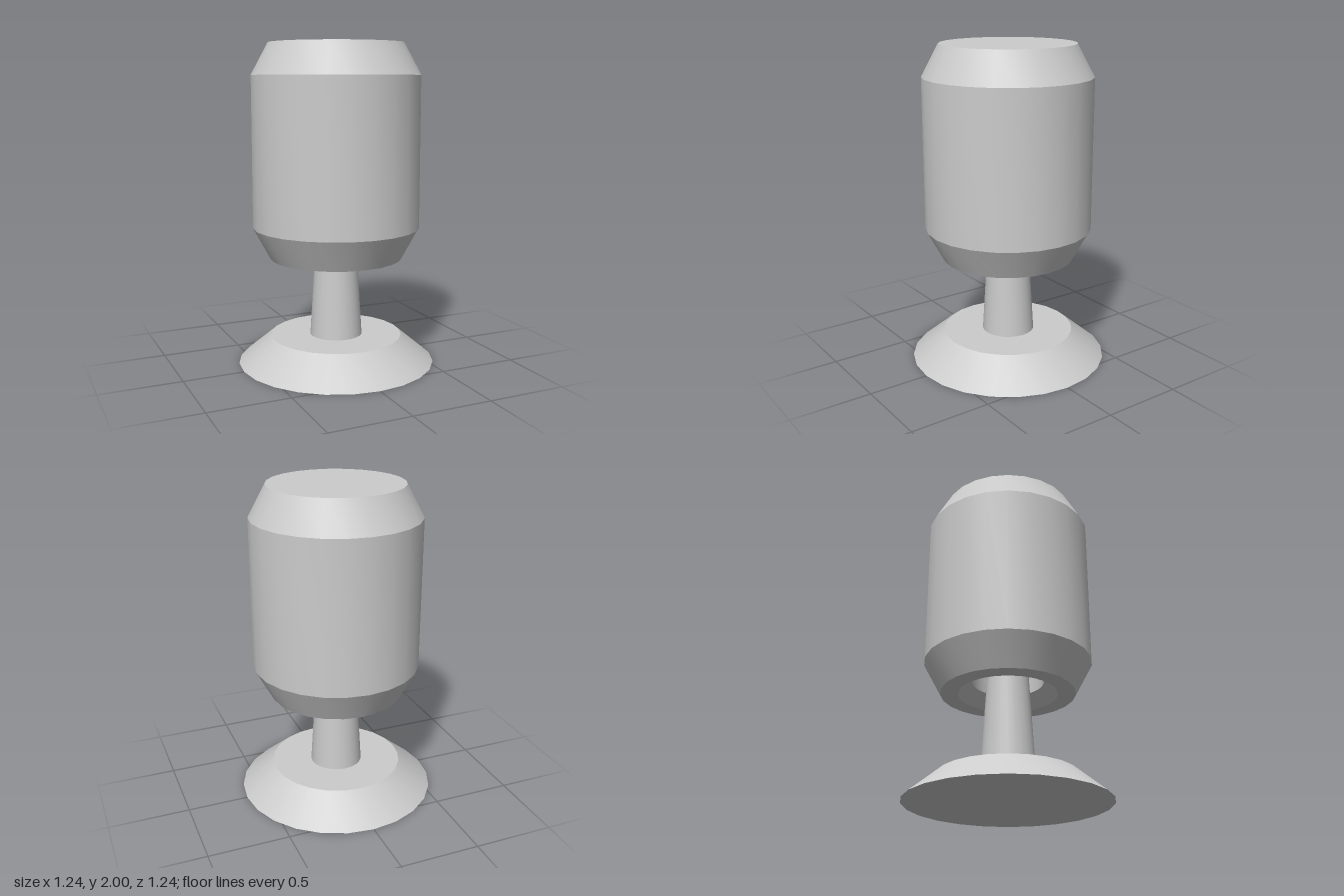
import * as THREE from 'three';
import { toCreasedNormals } from 'three/addons/utils/BufferGeometryUtils.js';

const SIDES = 24;

export function createModel() {
  const group = new THREE.Group();
  const material = new THREE.MeshStandardMaterial({ color: 0xcccccc });

  // Turned part from a [radius, height] profile, smooth around and sharp at the rims
  const turned = (name, profile) => {
    const points = profile.map(([r, y]) => new THREE.Vector2(r, y));
    const geometry = toCreasedNormals(new THREE.LatheGeometry(points, SIDES), 0.4);
    const mesh = new THREE.Mesh(geometry, material);
    mesh.name = name;
    group.add(mesh);
  };

  // Sloping foot
  turned('foot', [[0, 0], [0.62, 0], [0.415, 0.17], [0, 0.17]]);

  // Tapered stem, running up into the socket
  turned('stem', [[0, 0.17], [0.165, 0.17], [0.115, 1.0], [0, 1.0]]);

  // Chamfered barrel with a countersunk socket underneath
  turned('barrel', [
    [0, 1.0], [0.22, 1.0], [0.22, 0.75], [0.305, 0.67],
    [0.415, 0.67], [0.52, 0.865], [0.52, 1.805], [0.415, 2], [0, 2],
  ]);

  return group;
}
